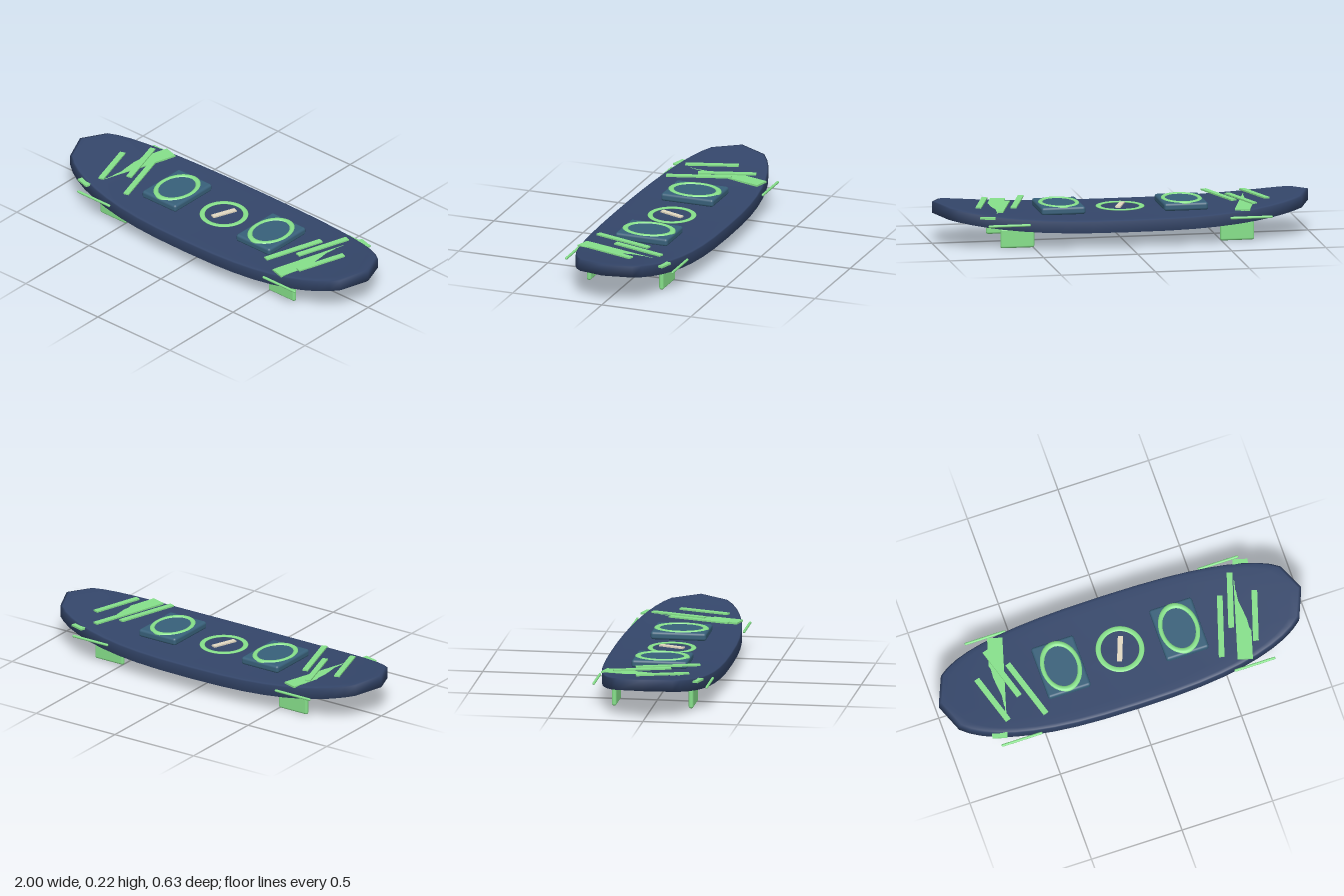
import * as THREE from 'three';
import { RoundedBoxGeometry } from 'three/addons/geometries/RoundedBoxGeometry.js';

const material = (color) => new THREE.MeshStandardMaterial({ color });
const navy = material(0x34466a);
const green = material(0x86e08a);
const teal = material(0x38607a);
const cream = material(0xe2d8c2);

// Rocker: how far the board curves up towards its tips
const lift = (x) => 0.08 * Math.pow(Math.min(1, Math.abs(x)), 2.8);

// Superellipse plan shape with a blunt point at each tip
function outline() {
  const half = [];
  for (let deg = 22.5; deg <= 157.5; deg += 7.5) half.push(THREE.MathUtils.degToRad(deg));
  const angles = [0, ...half, Math.PI, ...half.map((a) => a + Math.PI)];
  const power = (v) => Math.sign(v) * Math.pow(Math.abs(v), 0.8);
  return angles.map((a) => [power(Math.cos(a)), 0.317 * power(Math.sin(a))]);
}

// Board skin: scaled outline rings from the middle of the base, round the rail, to the middle of the deck
function boardGeometry() {
  const rim = outline();
  const n = rim.length;
  const rings = [
    [0.001, 0.083], [0.2, 0.083], [0.4, 0.083], [0.6, 0.083], [0.8, 0.083], [0.94, 0.083], [1, 0.085],
    [1, 0.143], [0.985, 0.148], [0.94, 0.15], [0.8, 0.15], [0.6, 0.15], [0.4, 0.15], [0.2, 0.15], [0.001, 0.15],
  ];
  const positions = [];
  const index = [];
  rings.forEach(([s, y], r) => {
    rim.forEach(([x, z], i) => {
      positions.push(x * s, y + lift(x * s), z * s);
      if (r === 0) return;
      const a = (r - 1) * n + i, b = (r - 1) * n + ((i + 1) % n);
      index.push(a, a + n, b, b, a + n, b + n);
    });
  });
  const geometry = new THREE.BufferGeometry();
  geometry.setAttribute('position', new THREE.Float32BufferAttribute(positions, 3));
  geometry.setIndex(index);
  geometry.computeVertexNormals();
  return geometry;
}

export function createModel() {
  const model = new THREE.Group();

  function add(name, geometry, mat, x, y, z, turn = 0) {
    const mesh = new THREE.Mesh(geometry, mat);
    mesh.name = name;
    mesh.position.set(x, y, z);
    mesh.rotation.y = turn;
    model.add(mesh);
    return mesh;
  }

  // Flat-lying ring, stretched to an oval by rx and rz
  function ring(name, rx, rz, tube, height, x, y) {
    const geometry = new THREE.TorusGeometry(1, tube, 12, 56).rotateX(Math.PI / 2);
    geometry.scale(rx, height / (2 * tube), rz);
    add(name, geometry, green, x, y, 0);
  }

  add('board', boardGeometry(), navy, 0, 0, 0);

  // Centre badge
  ring('centreRing', 0.114, 0.114, 0.12, 0.008, 0, 0.166);
  add('centreBar', new THREE.BoxGeometry(0.027, 0.008, 0.138), cream, 0, 0.172, 0, -0.36);

  for (const side of [-1, 1]) {
    // Foot pad with its oval ring
    add('footPad', new RoundedBoxGeometry(0.234, 0.042, 0.294, 3, 0.014), teal, side * 0.326, 0.176, 0);
    ring('footRing', 0.095, 0.128, 0.13, 0.02, side * 0.326, 0.193);

    // Broad band, partly sunk into the rising deck
    add('deckBand', new THREE.BoxGeometry(0.08, 0.01, 0.555), green, side * 0.677, 0.173, 0, -0.28);

    // Slanted stripes: distance from the middle, z, length
    for (const [x, z, length] of [[0.725, 0.061, 0.28], [0.63, -0.061, 0.305], [0.535, 0.061, 0.34]]) {
      add('deckStripe', new THREE.BoxGeometry(0.03, 0.008, length), green, side * x, 0.195, z, -side * 0.3);
    }

    for (const edge of [-1, 1]) {
      // Fin under the base
      add('fin', new RoundedBoxGeometry(0.18, 0.104, 0.025, 4, 0.0115), green, side * 0.584, 0.054, edge * 0.203);

      // Thin trim rod along the rail
      const rod = new THREE.CapsuleGeometry(0.007, 0.212, 4, 10).rotateZ(Math.PI / 2);
      add('railTrim', rod, green, side * 0.643, 0.137, edge * 0.298);
    }
  }
  return model;
}
